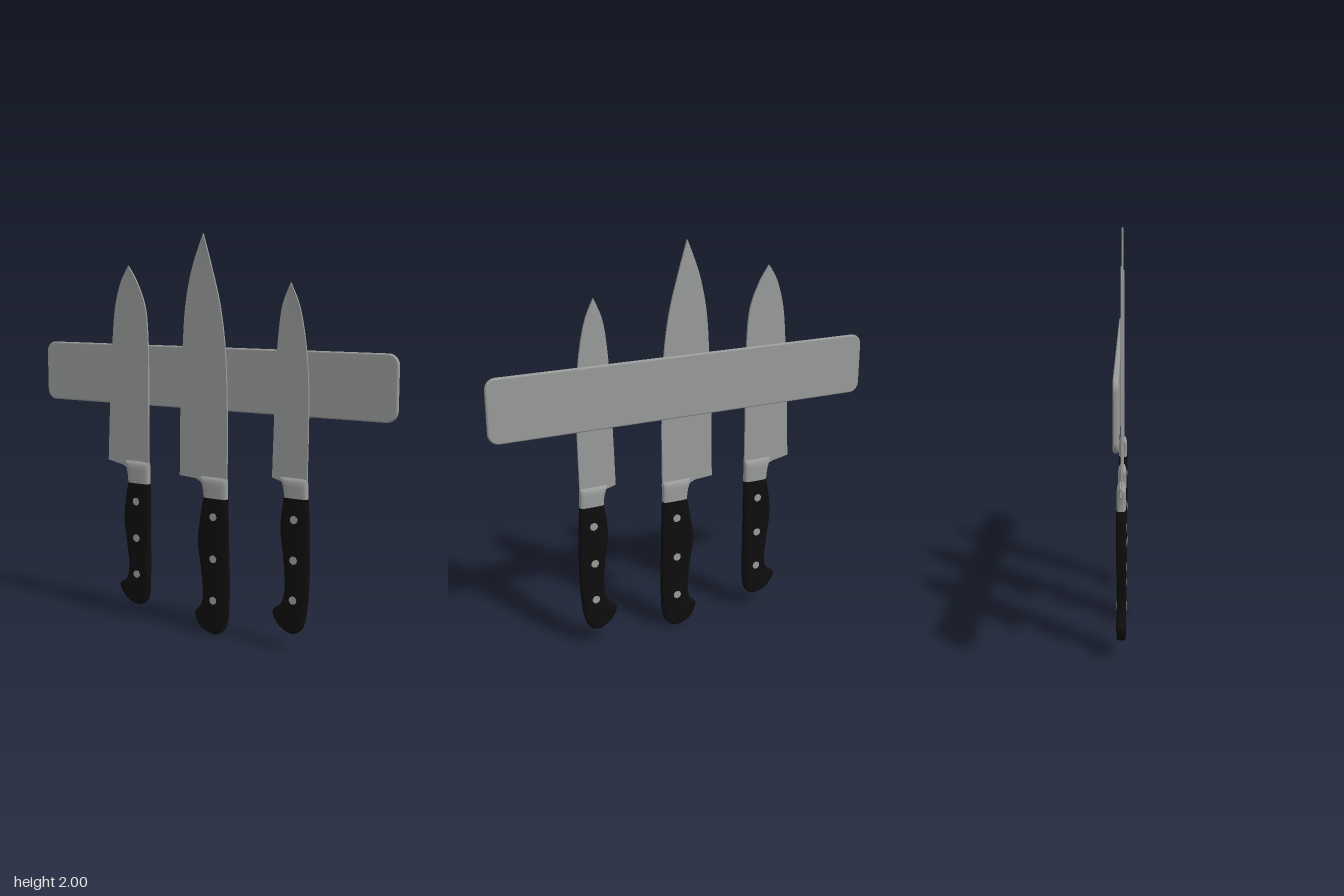
import * as THREE from 'three';

const steel = new THREE.MeshStandardMaterial({ color: 0x999b9a });
steel.name = 'steel grey';
const black = new THREE.MeshStandardMaterial({ color: 0x0d0d0d });
black.name = 'handle black';

// Rows are [y, left x, right x], from top to bottom.
const smoothRows = (rows, n) =>
  new THREE.CatmullRomCurve3(rows.map(([y, l, r]) => new THREE.Vector3(l, y, r)))
    .getPoints(n).map((p) => [p.y, p.x, p.z]);

// Skin a stack of closed sections; section(row) gives [x, z] points.
function loft(rows, section, flat) {
  const pos = [], idx = [];
  const rings = rows.map((row) => section(row).map(([x, z]) => [x, row[0], z]));
  const n = rings[0].length;
  rings.forEach((ring) => ring.forEach((p) => pos.push(...p)));
  for (let i = 0; i < rings.length - 1; i++) {
    for (let j = 0; j < n; j++) {
      const a = i * n + j, b = i * n + (j + 1) % n;
      idx.push(a, b, a + n, b, b + n, a + n);
    }
  }
  // End caps with their own vertices
  [[rings[0], true], [rings[rings.length - 1], false]].forEach(([ring, top]) => {
    const s = pos.length / 3;
    ring.forEach((p) => pos.push(...p));
    for (let j = 1; j < n - 1; j++) {
      if (top) idx.push(s, s + j + 1, s + j);
      else idx.push(s, s + j, s + j + 1);
    }
  });
  let g = new THREE.BufferGeometry();
  g.setAttribute('position', new THREE.Float32BufferAttribute(pos, 3));
  g.setIndex(idx);
  if (flat) g = g.toNonIndexed();
  g.computeVertexNormals();
  return g;
}

// Wedge section: thin cutting edge on the left, thicker spine on the right
const wedge = (edge, spine) => ([, l, r]) => [[r, spine], [l, edge], [l, -edge], [r, -spine]];

// Rounded slab section; half(y) is the half thickness
const slab = (half) => ([y, l, r]) => {
  const pts = [], h = half(y);
  const pow = (v) => Math.sign(v) * Math.sqrt(Math.abs(v));
  for (let j = 0; j < 32; j++) {
    const a = (j / 32) * Math.PI * 2;
    pts.push([(l + r) / 2 + ((r - l) / 2) * pow(Math.cos(a)), h * pow(Math.sin(a))]);
  }
  return pts;
};

function add(group, name, geometry, material, z) {
  const m = new THREE.Mesh(geometry, material);
  m.name = name;
  m.position.z = z;
  group.add(m);
  return m;
}

const HALF = 0.023;

function makeKnife(name, { blade, heel, handle, rivetX, rivetY }) {
  const g = new THREE.Group();
  g.name = name;
  add(g, 'blade', loft(smoothRows(blade, 40), wedge(0.0012, 0.005), true), steel, 0.004);
  add(g, 'heel', loft(heel, wedge(0.003, 0.006), true), steel, 0.004);

  // Bolster swells from the blade to the handle thickness
  const [hy, hl, hr] = handle[0];
  const top = blade[blade.length - 1][0] + 0.008, sr = heel[0][2];
  const bolster = [];
  for (let i = 0; i <= 12; i++) {
    const t = i / 12, y = top + (hy - top) * t;
    bolster.push([y, hl - 0.025 * (1 - t) ** 2, sr + (hr - sr) * t]);
  }
  const swell = (y) => {
    const t = Math.min(1, (top - y) / 0.04);
    return 0.006 + 0.0155 * Math.sqrt(1 - (1 - t) ** 2);
  };
  add(g, 'bolster', loft(bolster, slab(swell)), steel, 0.002);

  // Handle with rounded butt
  const butt = handle[handle.length - 1][0];
  const round = (y) => {
    const t = Math.min(1, Math.max(0, (y - butt) / 0.035));
    return HALF * (0.3 + 0.7 * Math.sqrt(1 - (1 - t) ** 2));
  };
  add(g, 'handle', loft(smoothRows(handle, 70), slab(round)), black, 0.002);

  // Rivets pass right through
  const pin = new THREE.CylinderGeometry(0.02, 0.02, 2 * HALF + 0.002, 20).rotateX(Math.PI / 2);
  rivetY.forEach((y) => add(g, 'rivet', pin, steel, 0.002).position.set(rivetX, y, 0.002));
  return g;
}

const knives = {
  rightKnife: {
    blade: [[1.845, -0.452, -0.449], [1.77, -0.497, -0.4], [1.645, -0.535, -0.349], [1.46, -0.556, -0.332],
      [1.125, -0.577, -0.332], [0.84, -0.591, -0.332]],
    heel: [[0.84, -0.591, -0.332], [0.822, -0.5, -0.332], [0.812, -0.477, -0.332], [0.79, -0.465, -0.332], [0.733, -0.46, -0.332]],
    handle: [[0.733, -0.46, -0.332], [0.645, -0.476, -0.332], [0.54, -0.487, -0.332], [0.4, -0.47, -0.332],
      [0.28, -0.459, -0.333], [0.215, -0.476, -0.334], [0.18, -0.52, -0.335], [0.125, -0.492, -0.344],
      [0.097, -0.458, -0.36], [0.081, -0.42, -0.39]],
    rivetX: -0.403, rivetY: [0.637, 0.442, 0.248],
  },
  middleKnife: {
    blade: [[1.995, -0.007, -0.004], [1.83, -0.07, 0.045], [1.66, -0.107, 0.09], [1.45, -0.124, 0.12],
      [1.125, -0.139, 0.133], [0.8, -0.144, 0.133]],
    heel: [[0.8, -0.144, 0.133], [0.793, -0.05, 0.133], [0.78, -0.02, 0.133], [0.76, -0.006, 0.133], [0.703, 0, 0.133]],
    handle: [[0.703, 0, 0.133], [0.59, -0.02, 0.137], [0.48, -0.033, 0.139], [0.32, -0.012, 0.144],
      [0.19, -0.004, 0.144], [0.14, -0.017, 0.143], [0.105, -0.048, 0.141], [0.045, -0.027, 0.126],
      [0.015, 0.012, 0.102], [0, 0.05, 0.076]],
    rivetX: 0.064, rivetY: [0.61, 0.395, 0.18],
  },
  leftKnife: {
    blade: [[1.76, 0.468, 0.471], [1.66, 0.428, 0.515], [1.5, 0.406, 0.549], [1.3, 0.396, 0.568],
      [1.125, 0.39, 0.571], [0.84, 0.382, 0.568]],
    heel: [[0.84, 0.382, 0.568], [0.826, 0.43, 0.568], [0.815, 0.443, 0.568], [0.795, 0.449, 0.568], [0.752, 0.45, 0.572]],
    handle: [[0.752, 0.45, 0.572], [0.67, 0.438, 0.577], [0.59, 0.433, 0.581], [0.457, 0.45, 0.584],
      [0.32, 0.46, 0.582], [0.233, 0.444, 0.576], [0.185, 0.396, 0.571], [0.125, 0.422, 0.556],
      [0.098, 0.458, 0.538], [0.083, 0.485, 0.512]],
    rivetX: 0.51, rivetY: [0.65, 0.452, 0.255],
  },
};

// Wall bar: rounded rectangle with softened edges
function barGeometry() {
  const b = 0.008, w = 1 - b, h = 0.155 - b, r = 0.045;
  const s = new THREE.Shape();
  s.moveTo(-w + r, -h);
  s.absarc(w - r, -h + r, r, -Math.PI / 2, 0);
  s.absarc(w - r, h - r, r, 0, Math.PI / 2);
  s.absarc(-w + r, h - r, r, Math.PI / 2, Math.PI);
  s.absarc(-w + r, -h + r, r, Math.PI, Math.PI * 1.5);
  return new THREE.ExtrudeGeometry(s, {
    depth: 0.008, bevelThickness: b, bevelSize: b, bevelSegments: 4, curveSegments: 10,
  });
}

export function createModel() {
  const model = new THREE.Group();
  model.name = 'knifeRack';
  add(model, 'magneticBar', barGeometry(), steel, -0.017).position.y = 1.295;
  for (const [name, spec] of Object.entries(knives)) model.add(makeKnife(name, spec));
  return model;
}
